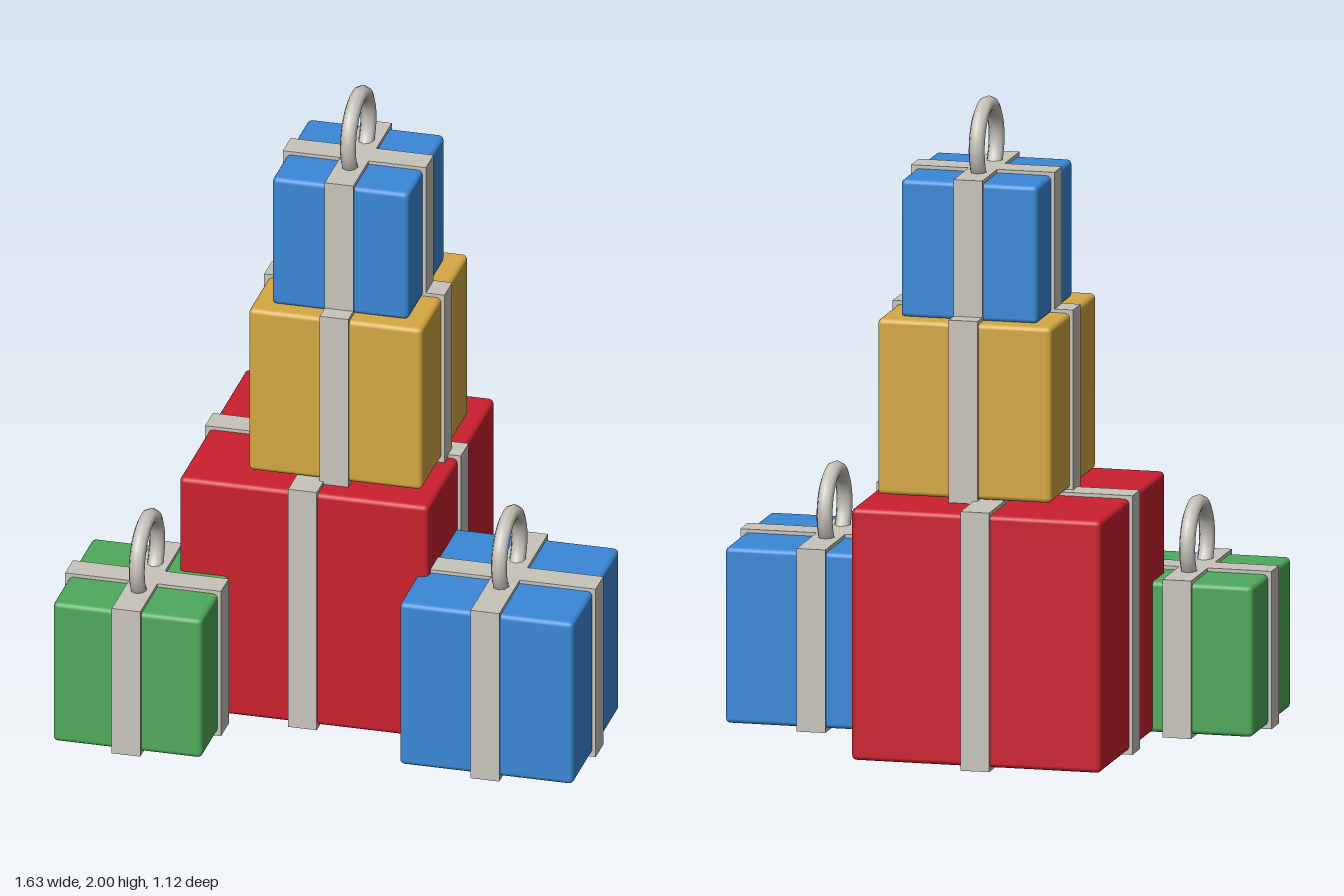
import * as THREE from 'three';
import { RoundedBoxGeometry } from 'three/addons/geometries/RoundedBoxGeometry.js';

function paint(name, color) {
  const m = new THREE.MeshStandardMaterial({ color });
  m.name = name;
  return m;
}

const BAND = 0.09; // ribbon width
const LIP = 0.011; // how far the ribbon stands proud of the box

export function createModel() {
  const red = paint('red paper', 0xcb202d);
  const blue = paint('blue paper', 0x3b88d8);
  const gold = paint('gold paper', 0xd4a843);
  const green = paint('green paper', 0x4fa95a);
  const silver = paint('silver ribbon', 0xc8c4bc);

  const model = new THREE.Group();
  model.name = 'giftPile';

  // one wrapped present: cube, two crossing ribbons, optional ring bow
  function present(name, paper, size, x, y, z, hasRing) {
    const group = new THREE.Group();
    group.name = name;
    group.position.set(x, y, z);
    const add = (part, geometry, material, py) => {
      const mesh = new THREE.Mesh(geometry, material);
      mesh.name = part;
      mesh.position.y = py;
      group.add(mesh);
      return mesh;
    };
    const outer = size + 2 * LIP;
    const mid = outer / 2;
    add('box', new RoundedBoxGeometry(size, size, size, 2, 0.015), paper, mid);
    add('ribbonFrontToBack', new THREE.BoxGeometry(BAND, outer, outer), silver, mid);
    add('ribbonSideToSide', new THREE.BoxGeometry(outer, outer, BAND), silver, mid);
    if (hasRing) {
      const ring = add('ringBow', new THREE.TorusGeometry(0.12, 0.025, 8, 32), silver, outer + 0.07);
      ring.rotation.y = Math.PI / 2;
    }
    model.add(group);
  }

  // stacked tower
  present('redPresent', red, 0.782, -0.1, 0, -0.16, false);
  present('goldPresent', gold, 0.545, -0.022, 0.795, -0.12, false);
  present('topBluePresent', blue, 0.428, -0.022, 1.336, -0.12, true);

  // presents on the floor
  present('greenPresent', green, 0.468, -0.57, 0, 0.312, true);
  present('sideBluePresent', blue, 0.546, 0.527, 0, 0.155, true);

  return model;
}
